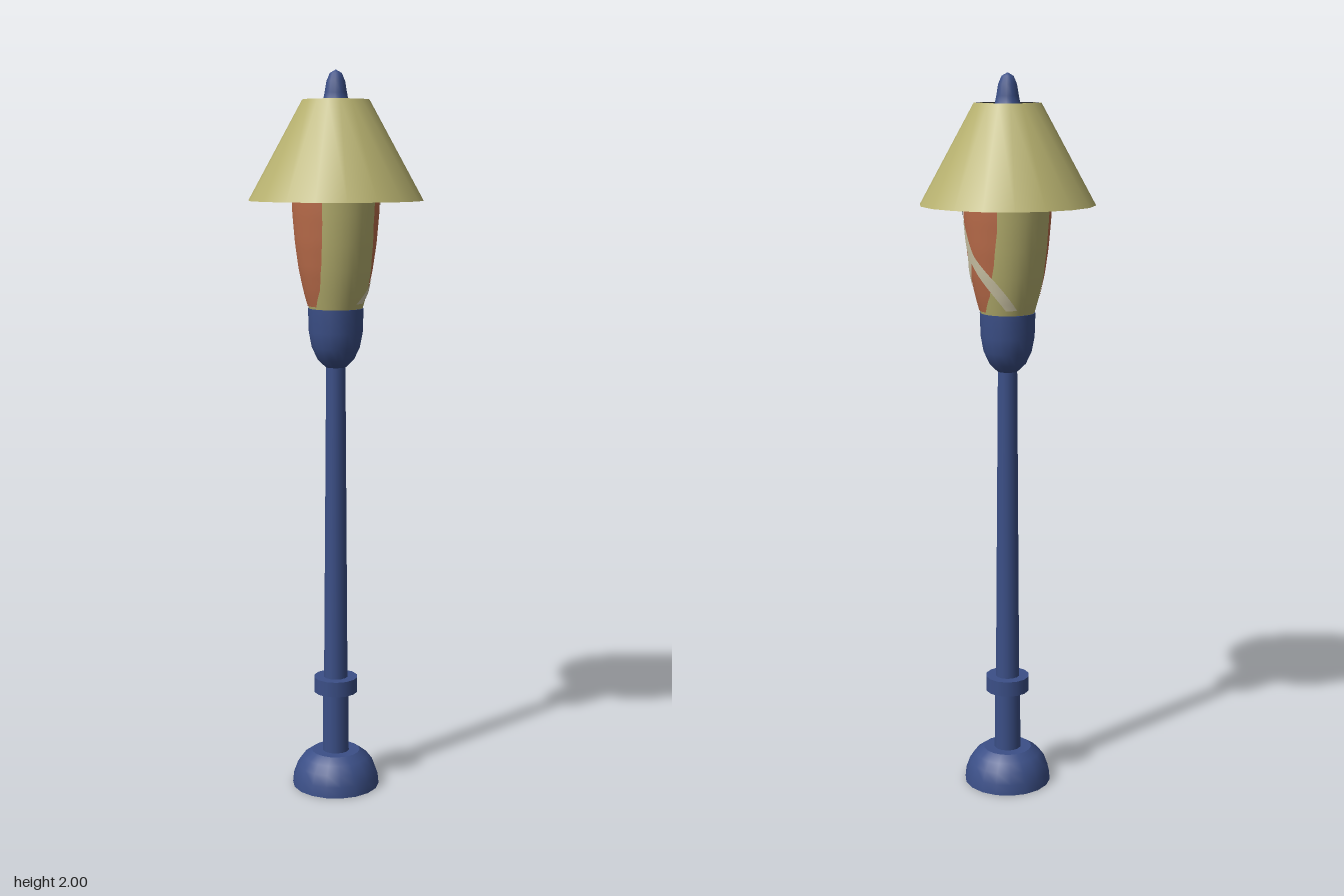
import * as THREE from 'three';
import { mergeGeometries } from 'three/addons/utils/BufferGeometryUtils.js';

const material = (name, color) => {
  const m = new THREE.MeshStandardMaterial({ color });
  m.name = name;
  return m;
};

// Piecewise linear lookup; rows are sorted by their first number
function lookup(rows, y, column) {
  let i = 1;
  while (i < rows.length - 1 && y > rows[i][0]) i++;
  const [a, b] = [rows[i - 1], rows[i]];
  const t = THREE.MathUtils.clamp((y - a[0]) / (b[0] - a[0]), 0, 1);
  return THREE.MathUtils.lerp(a[column], b[column], t);
}

// Glass profile as [height, radius]
const GLASS = [[1.36, 0.072], [1.41, 0.086], [1.47, 0.099], [1.54, 0.109], [1.62, 0.116], [1.69, 0.119]];

export function createModel() {
  const group = new THREE.Group();
  const blue = material('blue metal', 0x3b4f87);
  const darkBlue = material('dark blue metal', 0x212d4a);
  const olive = material('olive yellow', 0xb8b270);
  const rust = material('rust orange', 0xba6c4a);
  const cream = material('cream', 0xcfc7a8);
  const charcoal = material('charcoal', 0x444548);

  const add = (name, geometry, mat) => {
    const mesh = new THREE.Mesh(geometry, mat);
    mesh.name = name;
    group.add(mesh);
  };

  // Turned part; each profile is smooth, with sharp edges between profiles
  const turned = (name, mat, sides, ...profiles) => add(name, mergeGeometries(
    profiles.map((p) => new THREE.LatheGeometry(p.map(([r, y]) => new THREE.Vector2(r, y)), sides))), mat);

  // Thin painted patch on the glass; rows are [height, start angle, end angle],
  // in degrees from the +x side towards the back
  const patch = (name, mat, turn, lift, rows) => {
    const geo = new THREE.PlaneGeometry(1, 1, 12, 20);
    const pos = geo.attributes.position;
    const low = rows[0][0], high = rows[rows.length - 1][0];
    for (let i = 0; i < pos.count; i++) {
      const y = THREE.MathUtils.lerp(low, high, pos.getY(i) + 0.5);
      const deg = THREE.MathUtils.lerp(lookup(rows, y, 1), lookup(rows, y, 2), pos.getX(i) + 0.5);
      const a = THREE.MathUtils.degToRad(deg + turn);
      const r = lookup(GLASS, y, 1) + lift;
      pos.setXYZ(i, r * Math.cos(a), y, -r * Math.sin(a));
    }
    geo.computeVertexNormals();
    add(name, geo, mat);
  };

  // Foot and post
  turned('footDome', blue, 18,
    [[0, 0], [0.123, 0]],
    [[0.123, 0], [0.12, 0.03], [0.109, 0.06], [0.092, 0.083], [0.068, 0.1]],
    [[0.068, 0.1], [0, 0.1]]);
  turned('lowerPost', blue, 14, [[0.038, 0.09], [0.037, 0.28]]);
  turned('postCollar', blue, 14,
    [[0.03, 0.275], [0.062, 0.275]], [[0.062, 0.275], [0.062, 0.318]], [[0.062, 0.318], [0.03, 0.318]]);
  turned('upperPost', blue, 14, [[0.034, 0.31], [0.027, 1.22]]);

  // Cup that holds the glass
  turned('lampCup', blue, 18,
    [[0, 1.2], [0.028, 1.203], [0.05, 1.224], [0.066, 1.258], [0.074, 1.3], [0.076, 1.365]],
    [[0.076, 1.365], [0, 1.365]]);

  // Glass with painted sides
  turned('lampGlass', olive, 36, GLASS.map(([y, r]) => [r, y]));
  patch('leftRustPanel', rust, 0, 0.0015,
    [[1.372, -20, 16], [1.42, -40, 34], [1.5, -50, 45], [1.6, -56, 52], [1.69, -56, 52]]);
  patch('rightRustPanel', rust, 180, 0.0015,
    [[1.372, -20, 20], [1.42, -35, 35], [1.5, -42, 42], [1.6, -45, 45], [1.69, -45, 45]]);
  patch('longCreamStripe', cream, 0, 0.003,
    [[1.38, 62, 84], [1.455, 24, 48], [1.525, -9, 10], [1.62, -31, -16], [1.69, -50, -36]]);
  patch('shortCreamStripe', cream, 0, 0.0035,
    [[1.38, -74, -54], [1.42, -46, -25], [1.46, -27, -8], [1.535, -4, 9]]);
  patch('darkGlassMark', charcoal, 0, 0.0045, [[1.63, -28, -14], [1.66, -30, -8], [1.69, -34, -4]]);

  // Cap over the glass, with its finial
  turned('glassCap', darkBlue, 18,
    [[0.121, 1.69], [0.12, 1.73], [0.108, 1.8], [0.08, 1.86], [0.045, 1.905], [0.02, 1.918]]);
  turned('finial', blue, 12,
    [[0.044, 1.905], [0.034, 1.92], [0.03, 1.94], [0.025, 1.97], [0.016, 1.991], [0, 2]]);

  // Shade
  turned('shadeOuter', olive, 18,
    [[0.237, 1.655], [0.09, 1.922]], [[0.09, 1.922], [0.085, 1.922]], [[0.232, 1.655], [0.237, 1.655]]);
  turned('shadeLining', charcoal, 18, [[0.085, 1.922], [0.232, 1.655]]);

  return group;
}
